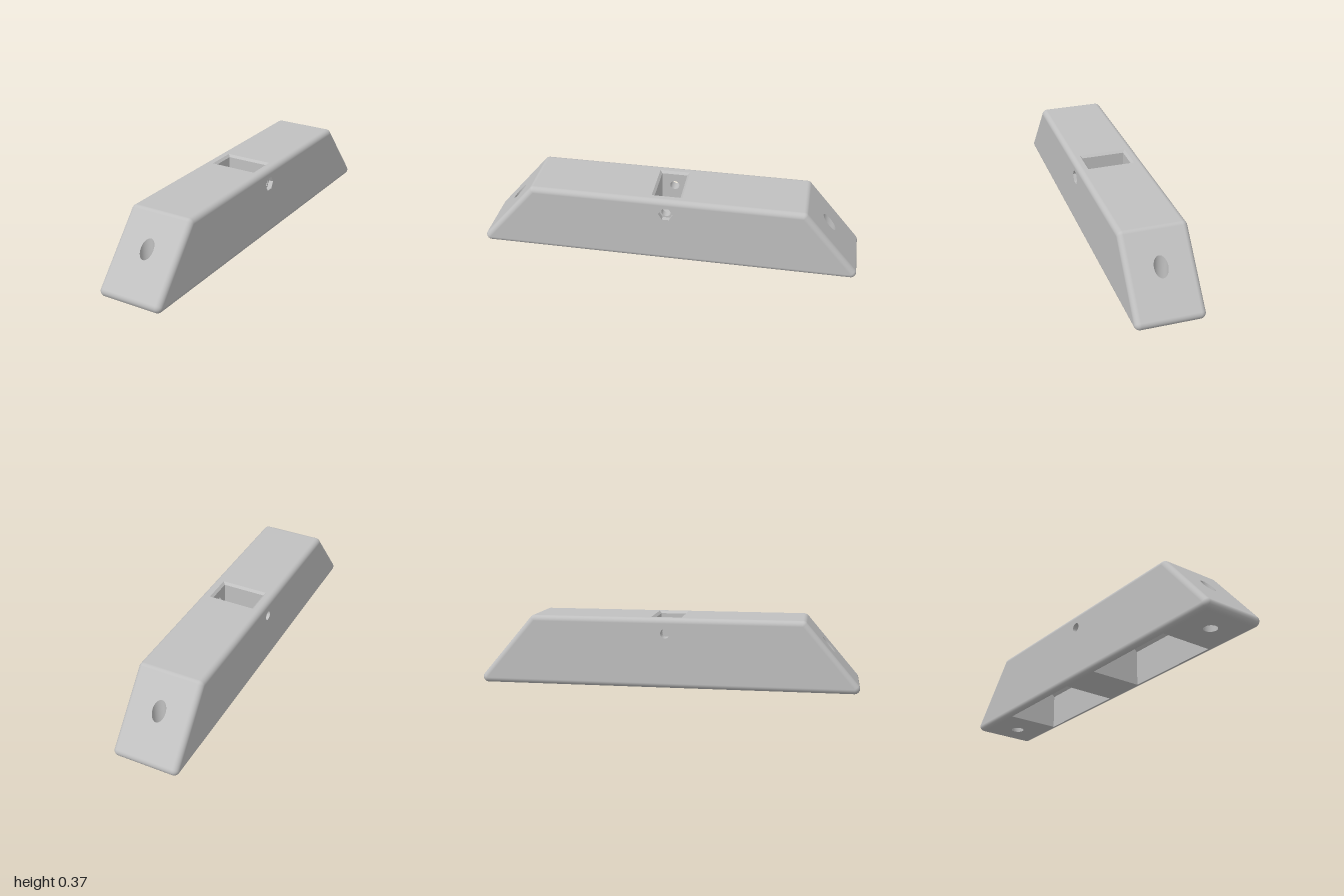
import * as THREE from 'three';
import { mergeGeometries } from 'three/addons/utils/BufferGeometryUtils.js';

const V = (x, y, z) => new THREE.Vector3(x, y, z);
const X = V(1, 0, 0), Y = V(0, 1, 0), Z = V(0, 0, 1);
const neg = (v) => v.clone().negate();

// Main sizes: R is the edge rounding, the core is the block shrunk by R
const R = 0.028, TOP = 0.37, HALF = 0.175;
const CX = HALF - R, ZB = 1 - R, ZT = 0.705;
const RISE = TOP - 2 * R, RUN = ZB - ZT, SLANT = Math.hypot(RISE, RUN);
const NZ = RISE / SLANT, NY = RUN / SLANT;
const BOLT_Z = 0.84, BOLT_R = 0.035, PIN_Y = 0.29, PIN_R = 0.025, NUT_R = 0.038, NUT_X = 0.15;

const poly = (n, r, cx = 0, cy = 0, ry = r) => Array.from({ length: n }, (_, i) => {
  const a = (i / n) * Math.PI * 2;
  return new THREE.Vector2(cx + r * Math.cos(a), cy + ry * Math.sin(a));
});
const rect = (hx, y0, y1) => [[hx, y0], [hx, y1], [-hx, y1], [-hx, y0]].map((p) => new THREE.Vector2(...p));

// Flat face with holes, laid in the plane of u and v
function face(points, holes, origin, u, v) {
  const shape = new THREE.Shape(points);
  shape.holes = holes.map((h) => new THREE.Path(h));
  const m = new THREE.Matrix4().makeBasis(u, v, u.clone().cross(v)).setPosition(origin);
  return new THREE.ShapeGeometry(shape).applyMatrix4(m);
}

// Wall joining two rings of points
function loft(a, b, { closed = true, smooth = false } = {}) {
  const n = a.length, index = [];
  for (let i = 0; i < (closed ? n : n - 1); i++) {
    const j = (i + 1) % n;
    index.push(i, j, n + i, j, n + j, n + i);
  }
  let g = new THREE.BufferGeometry().setFromPoints([...a, ...b]);
  g.setIndex(index);
  if (!smooth) g = g.toNonIndexed();
  g.computeVertexNormals();
  return g;
}

// Rounded strip from p to q between normals a and b, or a corner patch when c is given
function fillet(p, q, a, b, c) {
  const side = c ? c.clone().sub(a) : q.clone().sub(p);
  const out = a.clone().add(b);
  if (c) out.add(c);
  if (b.clone().sub(a).cross(side).dot(out) < 0) [a, b] = [b, a];
  const g = new THREE.PlaneGeometry(1, 1, 10, c ? 10 : 1);
  const pos = g.attributes.position, nor = g.attributes.normal;
  for (let i = 0; i < pos.count; i++) {
    const u = pos.getX(i) + 0.5, v = pos.getY(i) + 0.5;
    const d = a.clone().lerp(b, u);
    if (c) d.lerp(c, v);
    d.normalize();
    const s = p.clone().lerp(q, v).addScaledVector(d, R);
    pos.setXYZ(i, s.x, s.y, s.z);
    nor.setXYZ(i, d.x, d.y, d.z);
  }
  return g;
}

export function createModel() {
  const model = new THREE.Group();
  model.name = 'wedgeEndedBlock';
  const grey = new THREE.MeshStandardMaterial({ color: 0xc0c0c0, side: THREE.DoubleSide });
  grey.name = 'light grey';

  const add = (name, geometries, parent = model) => {
    const plain = geometries.map((g) => {
      const h = g.index ? g.toNonIndexed() : g;
      h.deleteAttribute('uv');
      return h;
    });
    const mesh = new THREE.Mesh(mergeGeometries(plain), grey);
    mesh.name = name;
    parent.add(mesh);
  };

  // Rounded edges and corners
  const core = (sx, top, sz) => V(sx * CX, top ? TOP - R : R, sz * (top ? ZT : ZB));
  const nx = (s) => V(s, 0, 0), ny = (top) => V(0, top ? 1 : -1, 0), ns = (s) => V(0, NY, s * NZ);
  const edges = [];
  for (const s of [-1, 1]) {
    for (const top of [false, true]) {
      edges.push(fillet(core(-1, top, s), core(1, top, s), ny(top), ns(s)));
      edges.push(fillet(core(s, top, -1), core(s, top, 1), nx(s), ny(top)));
      for (const t of [-1, 1]) {
        const p = core(s, top, t);
        edges.push(fillet(p, p, nx(s), ny(top), ns(t)));
      }
    }
    for (const t of [-1, 1]) edges.push(fillet(core(s, false, t), core(s, true, t), nx(s), ns(t)));
  }
  add('roundedEdges', edges);

  // Top and bottom faces
  const PX = 0.125, PZ = 0.08, BEV = 0.012, FLOOR = 0.2;
  const WX = 0.143, W0 = 0.12, W1 = 0.67, WALL = 0.19;
  add('topFace', [face(rect(CX, -ZT, ZT), [rect(PX, -PZ, PZ)], V(0, TOP, 0), X, neg(Z))]);
  add('bottomFace', [face(rect(CX, -ZB, ZB), [
    rect(WX, W0, W1), rect(WX, -W1, -W0),
    poly(32, BOLT_R, 0, BOLT_Z), poly(32, BOLT_R, 0, -BOLT_Z),
  ], V(0, 0, 0), X, Z)]);

  // Side faces: nut-shaped opening on +x, round opening on -x
  const nut = poly(6, NUT_R, 0, PIN_Y), pin = poly(32, PIN_R, 0, PIN_Y);
  const trapezoid = [[-ZB, R], [ZB, R], [ZT, TOP - R], [-ZT, TOP - R]].map((p) => new THREE.Vector2(...p));
  add('leftFace', [face(trapezoid, [nut], V(HALF, 0, 0), neg(Z), Y)]);
  add('rightFace', [face(trapezoid, [pin], V(-HALF, 0, 0), Z, Y)]);

  // Both ends: sloped face, bolt hole and hollow underneath
  const planeY = (z) => R + NY * R + (ZB + NZ * R - z) * (RISE / RUN);
  const along = (ZB + NZ * R - BOLT_Z) * (SLANT / RUN);
  for (const back of [false, true]) {
    const end = new THREE.Group();
    end.name = back ? 'backEnd' : 'frontEnd';
    if (back) end.rotation.y = Math.PI;
    model.add(end);
    add('slopedFace', [face(rect(CX, 0, SLANT),
      [poly(32, BOLT_R, 0, along, BOLT_R * SLANT / RUN)],
      V(0, R + NY * R, ZB + NZ * R), X, V(0, NZ, -NY))], end);
    const ring = poly(32, BOLT_R, 0, BOLT_Z);
    add('boltHole', [loft(ring.map((p) => V(p.x, 0, p.y)),
      ring.map((p) => V(p.x, planeY(p.y), p.y)), { smooth: true })], end);
    const gable = [[-WX, 0], [-WX, WALL], [0, WALL + WX], [WX, WALL], [WX, 0]]
      .map((p) => new THREE.Vector2(...p));
    add('undersideHollow', [
      loft(gable.map((p) => V(p.x, p.y, W0)), gable.map((p) => V(p.x, p.y, W1)), { closed: false }),
      face(gable, [], V(0, 0, W0), X, Y),
      face(gable, [], V(0, 0, W1), neg(X), Y),
    ], end);
  }

  // Top pocket with a bevelled rim
  const ix = PX - BEV, iz = PZ - BEV, rim = TOP - BEV;
  add('topPocket', [
    loft(rect(ix, -iz, iz).map((p) => V(p.x, rim, p.y)), rect(PX, -PZ, PZ).map((p) => V(p.x, TOP, p.y))),
    face(rect(ix, -iz, iz), [], V(0, FLOOR, 0), X, neg(Z)),
    face(rect(ix, FLOOR, rim), [], V(0, 0, -iz), X, Y),
    face(rect(ix, FLOOR, rim), [], V(0, 0, iz), neg(X), Y),
    face(rect(iz, FLOOR, rim), [pin], V(-ix, 0, 0), neg(Z), Y),
    face(rect(iz, FLOOR, rim), [pin], V(ix, 0, 0), Z, Y),
  ]);

  // Cross pin hole and its nut recess
  const atX = (ring, x) => ring.map((p) => V(x, p.y, -p.x));
  add('pinHole', [
    loft(atX(pin, NUT_X), atX(pin, ix), { smooth: true }),
    loft(atX(pin, -ix), atX(pin, -HALF), { smooth: true }),
  ]);
  add('nutRecess', [
    loft(atX(nut, HALF), atX(nut, NUT_X)),
    face(nut, [pin], V(NUT_X, 0, 0), neg(Z), Y),
  ]);
  return model;
}
